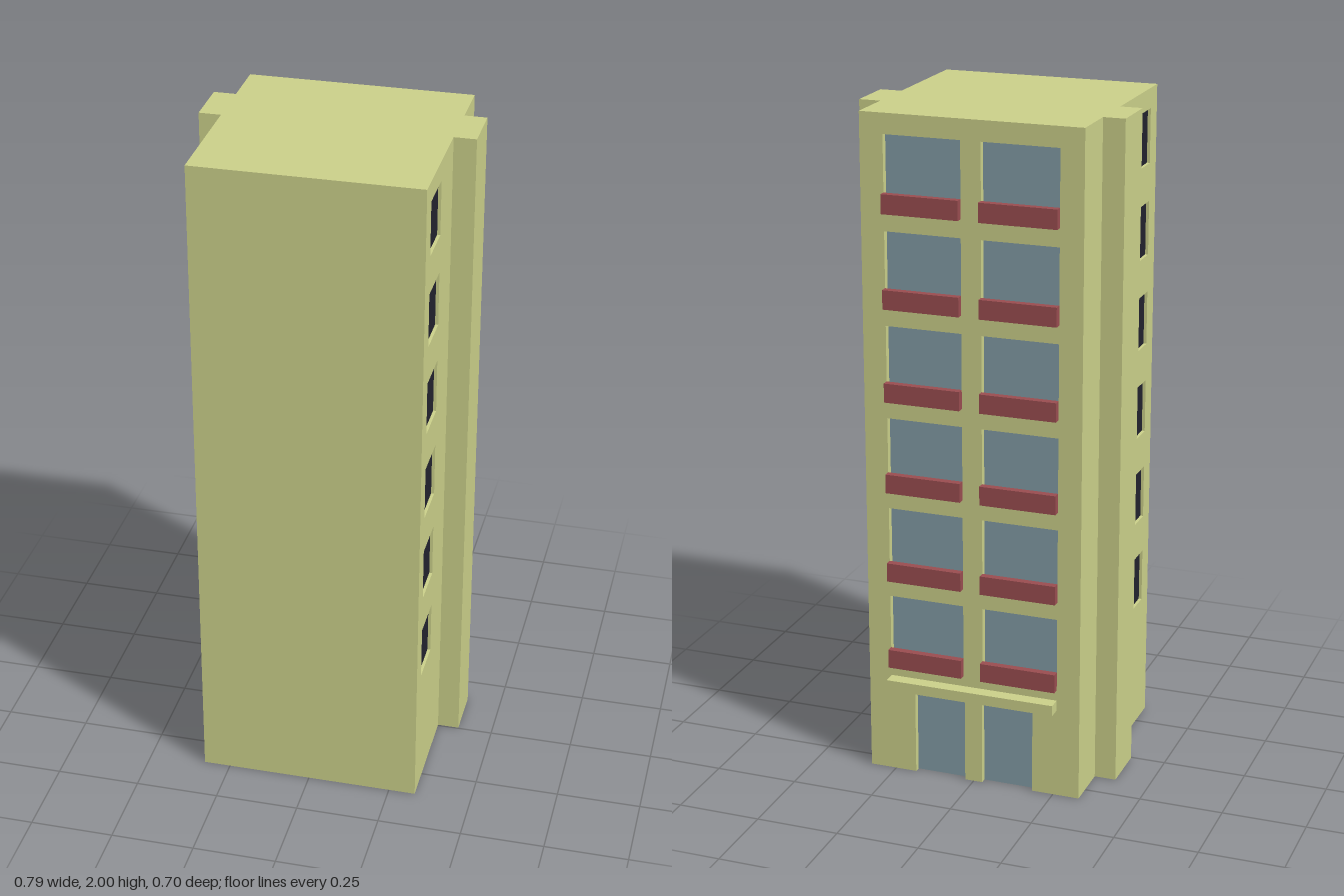
import * as THREE from 'three';

const HEIGHT = 2, FLOORS = 6, FLOOR_STEP = 0.276, FIRST_SILL = 0.395;
const HALF_W = 0.33, BACK = -0.31, FRONT = 0.35;
const SIDE_RECESS = 0.01, BACK_RECESS = 0.02;

const mat = (name, color) => {
  const m = new THREE.MeshStandardMaterial({ color });
  m.name = name;
  return m;
};

export function createModel() {
  const wall = mat('wall plaster', 0xcbd08a);
  const red = mat('balcony red', 0x9a4d50);
  const glass = mat('window glass', 0x829ca6);
  const dark = mat('dark glass', 0x22222e);

  const model = new THREE.Group();
  model.name = 'apartmentTower';

  const add = (name, geometry, material) => {
    const mesh = new THREE.Mesh(geometry, material);
    mesh.name = name;
    model.add(mesh);
    return mesh;
  };
  // box given by its minimum and maximum corners
  const box = (name, material, x0, x1, y0, y1, z0, z1) => {
    const mesh = add(name, new THREE.BoxGeometry(x1 - x0, y1 - y0, z1 - z0), material);
    mesh.position.set((x0 + x1) / 2, (y0 + y1) / 2, (z0 + z1) / 2);
    return mesh;
  };
  const rectHole = (x0, x1, y0, y1) => new THREE.Path([
    new THREE.Vector2(x0, y0), new THREE.Vector2(x0, y1),
    new THREE.Vector2(x1, y1), new THREE.Vector2(x1, y0),
  ]);
  const extrude = (shape, depth) =>
    new THREE.ExtrudeGeometry(shape, { depth, bevelEnabled: false });

  // solid core behind the pierced wall panels
  const coreX = HALF_W - SIDE_RECESS, coreZ = BACK + BACK_RECESS;
  box('core', wall, -coreX, coreX, 0, HEIGHT, coreZ, FRONT);

  const sills = Array.from({ length: FLOORS }, (_, i) => FIRST_SILL + i * FLOOR_STEP);

  // side walls with one column of dark windows, and the projecting shafts
  for (const s of [1, -1]) {
    const side = s > 0 ? 'left' : 'right';
    const a = -s * coreZ, b = -s * FRONT;
    const x0 = Math.min(a, b), x1 = Math.max(a, b);
    const shape = new THREE.Shape([
      new THREE.Vector2(x0, 0), new THREE.Vector2(x1, 0),
      new THREE.Vector2(x1, HEIGHT), new THREE.Vector2(x0, HEIGHT),
    ]);
    const mid = -s * 0.222, half = 0.068;
    for (const y of sills) {
      shape.holes.push(rectHole(mid - half, mid + half, y + 0.003, y + 0.165));
      const pane = add(side + 'SideWindow', new THREE.PlaneGeometry(half * 2, 0.162), dark);
      pane.position.set(s * (coreX + 0.001), y + 0.084, 0.222);
      pane.rotation.y = s * Math.PI / 2;
    }
    const panel = add(side + 'Wall', extrude(shape, SIDE_RECESS), wall);
    panel.rotation.y = s * Math.PI / 2;
    panel.position.x = s * coreX;

    const inner = s * HALF_W, outer = s * 0.395;
    box(side + 'Shaft', wall, Math.min(inner, outer), Math.max(inner, outer),
      0, HEIGHT, -0.158, -0.003);
  }

  // back wall: outline notched for two doorways, holes for the windows
  const doorIn = 0.027, doorOut = 0.185, doorTop = 0.265;
  const outline = [
    [-HALF_W, 0], [-doorOut, 0], [-doorOut, doorTop], [-doorIn, doorTop], [-doorIn, 0],
    [doorIn, 0], [doorIn, doorTop], [doorOut, doorTop], [doorOut, 0],
    [HALF_W, 0], [HALF_W, HEIGHT], [-HALF_W, HEIGHT],
  ];
  const backShape = new THREE.Shape(outline.map(([x, y]) => new THREE.Vector2(x, y)));
  const backPane = (name, cx, cy, w, h) => {
    const pane = add(name, new THREE.PlaneGeometry(w, h), glass);
    pane.position.set(cx, cy, coreZ - 0.001);
    pane.rotation.y = Math.PI;
  };
  for (const s of [1, -1]) {
    const cx = s * 0.145, half = 0.115;
    for (const y of sills) {
      backShape.holes.push(rectHole(cx - half, cx + half, y - 0.02, y + 0.165));
      backPane('balconyWindow', cx, y + 0.0725, half * 2, 0.185);
      box('balcony', red, cx - half, cx + half, y - 0.057, y, BACK - 0.022, BACK);
    }
    backPane('doorGlass', s * (doorIn + doorOut) / 2, doorTop / 2, doorOut - doorIn, doorTop);
  }
  add('backWall', extrude(backShape, BACK_RECESS), wall).position.z = BACK;

  // canopy over the doorways
  box('entranceCanopy', wall, -0.26, 0.26, 0.273, 0.305, -0.35, BACK);

  return model;
}
